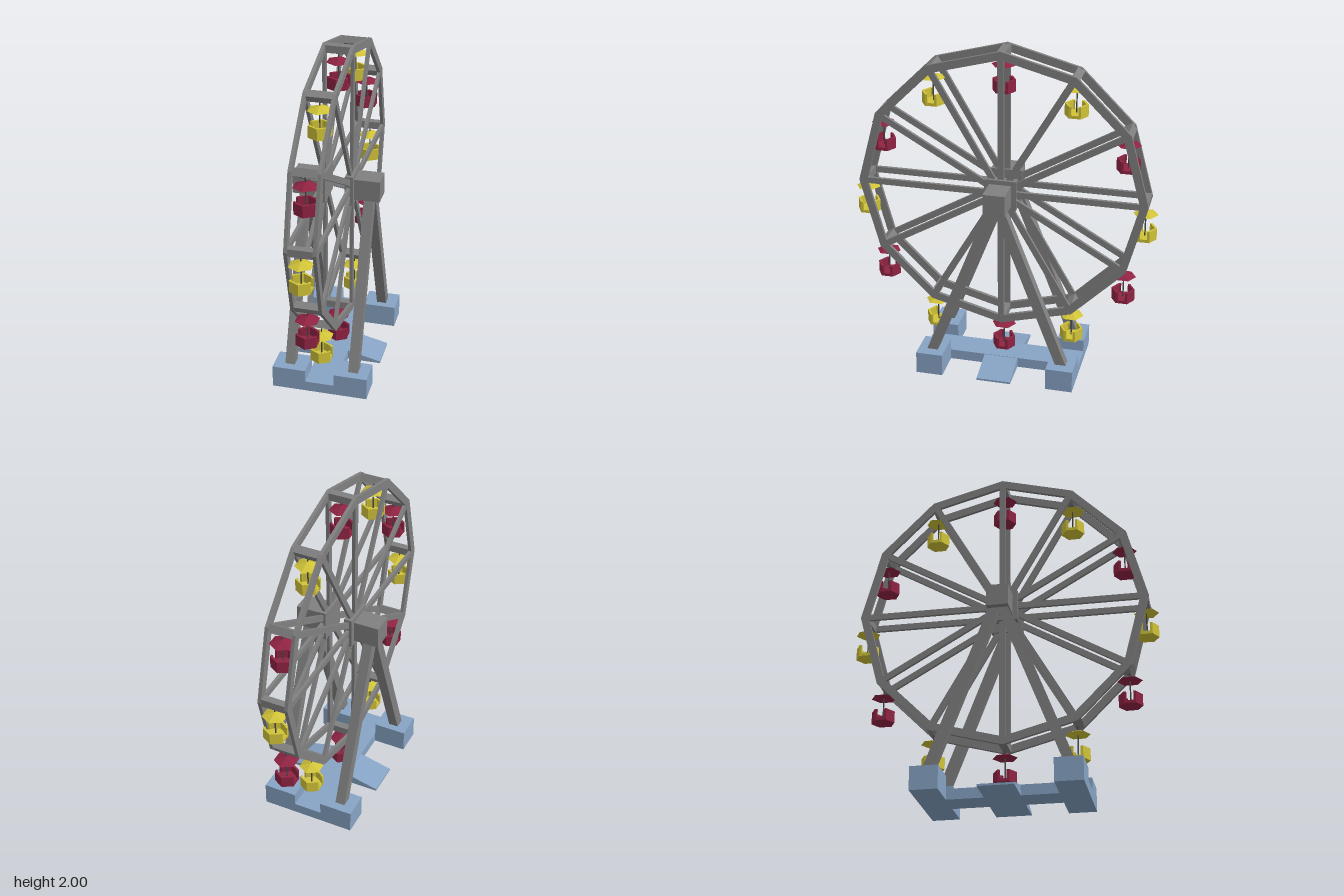
import * as THREE from 'three';

const material = (name, color) => {
  const m = new THREE.MeshStandardMaterial({ color });
  m.name = name;
  return m;
};

export function createModel() {
  const grey = material('steel grey', 0x808080);
  const dark = material('dark steel', 0x484848);
  const blue = material('base blue', 0x87a3c4);
  const red = material('cabin red', 0x8f2342);
  const yellow = material('cabin yellow', 0xd0c338);

  const model = new THREE.Group();
  model.name = 'ferrisWheel';

  const add = (parent, name, geometry, mat, x = 0, y = 0, z = 0) => {
    const mesh = new THREE.Mesh(geometry, mat);
    mesh.name = name;
    mesh.position.set(x, y, z);
    parent.add(mesh);
    return mesh;
  };
  const box = (parent, name, mat, w, h, d, x, y, z) =>
    add(parent, name, new THREE.BoxGeometry(w, h, d), mat, x, y, z);
  // Faceted cylinder with a hard edge at every side
  const faceted = (top, bottom, h, sides) => {
    const g = new THREE.CylinderGeometry(top, bottom, h, sides).toNonIndexed();
    g.computeVertexNormals();
    return g;
  };

  const HUB_Y = 1.15, OUTER = 0.85, INNER = 0.802, PIVOT = 0.825, COUNT = 12;

  // Base: low centre strip, four footings and two entry ramps
  const base = new THREE.Group();
  base.name = 'base';
  model.add(base);
  box(base, 'centreStrip', blue, 0.17, 0.062, 0.95, 0, 0.031, 0);
  const rampShape = new THREE.Shape([
    new THREE.Vector2(0.08, 0), new THREE.Vector2(0.283, 0),
    new THREE.Vector2(0.283, 0.012), new THREE.Vector2(0.08, 0.061),
  ]);
  const rampGeo = new THREE.ExtrudeGeometry(rampShape, { depth: 0.205, bevelEnabled: false });
  rampGeo.translate(0, 0, -0.1025);
  for (const s of [1, -1]) {
    add(base, 'ramp', rampGeo, blue).rotation.y = s > 0 ? 0 : Math.PI;
    for (const t of [1, -1]) {
      box(base, 'footing', blue, 0.198, 0.136, 0.16, s * 0.184, 0.068, t * 0.395);
    }
  }

  // Supports: A-frame legs, bearing blocks and hub plates
  const supports = new THREE.Group();
  supports.name = 'supports';
  model.add(supports);
  const legZ = 0.405, legBottom = 0.1;
  const legLength = Math.hypot(legZ, HUB_Y - legBottom);
  for (const s of [1, -1]) {
    box(supports, 'bearingBlock', grey, 0.155, 0.128, 0.128, s * 0.179, HUB_Y - 0.003, 0);
    box(supports, 'hubPlate', grey, 0.048, 0.182, 0.186, s * 0.082, HUB_Y - 0.003, 0);
    for (const t of [1, -1]) {
      const leg = box(supports, 'leg', grey, 0.058, legLength, 0.06,
        s * 0.19, (HUB_Y + legBottom) / 2, t * legZ / 2);
      leg.rotation.x = -t * Math.atan2(legZ, HUB_Y - legBottom);
    }
  }

  // Wheel: two twelve-sided rims, spokes and cross bars
  const wheel = new THREE.Group();
  wheel.name = 'wheel';
  wheel.position.y = HUB_Y;
  model.add(wheel);
  const ring = (r) => Array.from({ length: COUNT }, (_, i) => {
    const a = (i / COUNT) * Math.PI * 2;
    return new THREE.Vector2(Math.cos(a) * r, Math.sin(a) * r);
  });
  const rimShape = new THREE.Shape(ring(OUTER));
  rimShape.holes.push(new THREE.Path(ring(INNER)));
  const rimGeo = new THREE.ExtrudeGeometry(rimShape, { depth: 0.02, bevelEnabled: false });
  rimGeo.translate(0, 0, -0.01).rotateY(Math.PI / 2);
  for (const s of [1, -1]) add(wheel, 'rim', rimGeo, grey, s * 0.08);

  for (let i = 0; i < COUNT; i++) {
    const arm = new THREE.Group();
    arm.name = 'arm';
    arm.rotation.x = (i / COUNT) * Math.PI * 2;
    wheel.add(arm);
    box(arm, 'crossBar', grey, 0.15, 0.044, 0.046, 0, PIVOT - 0.002, 0);
    for (const s of [1, -1]) {
      box(arm, 'spoke', grey, 0.019, 0.76, 0.036, s * 0.08, 0.43, 0);
    }
  }

  // Cabins: hexagonal tub with open doorways, pole and pointed canopy
  const R = 0.068, X = 0.059, H = 0.07, T = 0.8, DOOR = 0.02;
  const wallShape = new THREE.Shape([
    [X, DOOR], [X, R / 2], [0, R], [-X, R / 2], [-X, DOOR],
    [-X * T, DOOR], [-X * T, R * T / 2], [0, R * T], [X * T, R * T / 2], [X * T, DOOR],
  ].map(([x, y]) => new THREE.Vector2(x, y)));
  const wallGeo = new THREE.ExtrudeGeometry(wallShape, { depth: H, bevelEnabled: false });
  wallGeo.rotateX(-Math.PI / 2);
  const floorGeo = faceted(R - 0.001, R - 0.001, 0.018, 6);
  const canopyGeo = faceted(0.004, 0.072, 0.026, 6);
  const poleGeo = faceted(0.004, 0.004, 0.22, 6);

  for (let i = 0; i < COUNT; i++) {
    const a = (i / COUNT) * Math.PI * 2;
    const paint = i % 2 ? yellow : red;
    const cabin = new THREE.Group();
    cabin.name = 'cabin';
    cabin.position.set(0, HUB_Y + Math.cos(a) * PIVOT, Math.sin(a) * PIVOT);
    model.add(cabin);
    add(cabin, 'canopy', canopyGeo, paint, 0, -0.063, 0);
    add(cabin, 'pole', poleGeo, dark, 0, -0.11, 0);
    add(cabin, 'floor', floorGeo, paint, 0, -0.221, 0);
    add(cabin, 'wall', wallGeo, paint, 0, -0.23, 0);
    add(cabin, 'wall', wallGeo, paint, 0, -0.23, 0).rotation.y = Math.PI;
  }

  return model;
}
